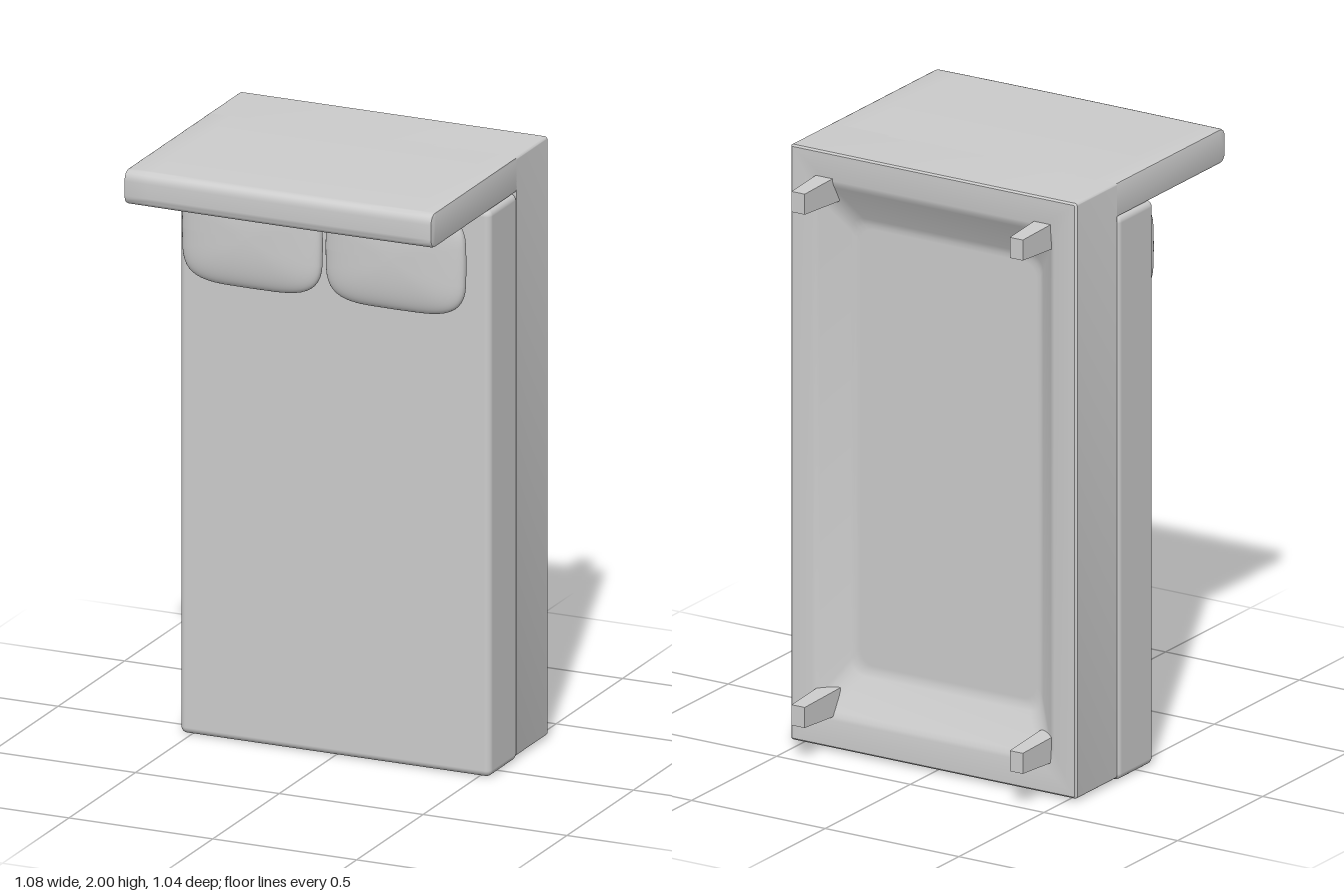
import * as THREE from 'three';
import { toCreasedNormals } from 'three/addons/utils/BufferGeometryUtils.js';
import { RoundedBoxGeometry } from 'three/addons/geometries/RoundedBoxGeometry.js';

const material = new THREE.MeshStandardMaterial({ color: 0xcccccc });

function add(parent, name, geometry, x = 0, y = 0, z = 0) {
  const mesh = new THREE.Mesh(geometry, material);
  mesh.name = name;
  mesh.position.set(x, y, z);
  parent.add(mesh);
  return mesh;
}

// Rounded rectangle in the xy plane, counter-clockwise seen from +z
function roundedLoop([hw, hh, r, z]) {
  const points = [];
  for (let corner = 0; corner < 4; corner++) {
    const sx = corner === 0 || corner === 3 ? 1 : -1;
    const sy = corner < 2 ? 1 : -1;
    for (let k = 0; k <= 4; k++) {
      const a = (corner + k / 4) * Math.PI / 2;
      points.push([sx * (hw - r) + r * Math.cos(a), sy * (hh - r) + r * Math.sin(a), z]);
    }
  }
  return points;
}

// Skin through successive loops
function skin(sections) {
  const loops = sections.map(roundedLoop);
  const position = [];
  for (let s = 0; s < loops.length - 1; s++) {
    const a = loops[s], b = loops[s + 1], n = a.length;
    for (let i = 0; i < n; i++) {
      const j = (i + 1) % n;
      position.push(...a[i], ...b[i], ...a[j], ...a[j], ...b[i], ...b[j]);
    }
  }
  const geometry = new THREE.BufferGeometry();
  geometry.setAttribute('position', new THREE.Float32BufferAttribute(position, 3));
  return toCreasedNormals(geometry, 0.6);
}

// Headboard: side profile with a rounded outer end, extruded across the width
function headboardGeometry() {
  const bevel = 0.008, z0 = -0.13, z1 = 0.505, y0 = 1.885 + bevel, y1 = 2 - bevel, r = 0.026;
  const shape = new THREE.Shape();
  shape.moveTo(z0, y0);
  shape.lineTo(z1 - r, y0);
  shape.quadraticCurveTo(z1, y0, z1, y0 + r);
  shape.lineTo(z1, y1 - r);
  shape.quadraticCurveTo(z1, y1, z1 - r, y1);
  shape.lineTo(z0, y1);
  shape.closePath();
  const width = 1.07 - 2 * bevel;
  const geometry = new THREE.ExtrudeGeometry(shape, {
    depth: width, steps: 14, curveSegments: 6,
    bevelEnabled: true, bevelThickness: bevel, bevelSize: bevel, bevelSegments: 2,
  });
  geometry.translate(0, 0, -width / 2);
  geometry.rotateY(-Math.PI / 2);
  // Slight bulge of the padded end
  const p = geometry.attributes.position;
  for (let i = 0; i < p.count; i++) {
    if (p.getZ(i) > 0.4) p.setZ(i, p.getZ(i) + 0.005 * (1 - (p.getX(i) / 0.535) ** 2));
  }
  return toCreasedNormals(geometry, 0.7);
}

// Pillow: sphere squared off in plan, with a soft rounded edge
function pillowGeometry(hw, hh, hd) {
  const geometry = new THREE.SphereGeometry(1, 48, 32);
  geometry.rotateX(Math.PI / 2);
  const p = geometry.attributes.position;
  const power = (v, e) => Math.sign(v) * Math.abs(v) ** e;
  for (let i = 0; i < p.count; i++) {
    const x = p.getX(i), y = p.getY(i), z = p.getZ(i);
    const rho = Math.hypot(x, y) || 1e-9;
    const edge = Math.min(rho, 1) ** 0.9;
    p.setXYZ(i, hw * edge * power(x / rho, 0.48), hh * edge * power(y / rho, 0.48), hd * power(z, 0.75));
  }
  geometry.computeVertexNormals();
  return geometry;
}

// Leg: box tapering towards its foot at -z
function legGeometry() {
  const geometry = new THREE.BoxGeometry(0.066, 0.088, 0.198);
  const p = geometry.attributes.position;
  for (let i = 0; i < p.count; i++) {
    if (p.getZ(i) < 0) p.setXY(i, p.getX(i) * 0.74, p.getY(i) * 0.78);
  }
  geometry.computeVertexNormals();
  return geometry;
}

export function createModel() {
  const bed = new THREE.Group();
  bed.name = 'bed';

  // Base frame with a sloped hollow on its underside: half width, half height, corner radius, z
  const frame = skin([
    [0, 0.5, 0, -0.125],
    [0.535, 0.995, 0.008, -0.125],
    [0.535, 0.995, 0.008, -0.35],
    [0.535, 0.995, 0.008, -0.359],
    [0.529, 0.989, 0.004, -0.365],
    [0.52, 0.98, 0.004, -0.365],
    [0.452, 0.902, 0.05, -0.365],
    [0.442, 0.89, 0.05, -0.362],
    [0.432, 0.876, 0.05, -0.354],
    [0.36, 0.765, 0.05, -0.284],
    [0.345, 0.745, 0.05, -0.276],
    [0.33, 0.73, 0.05, -0.276],
    [0, 0.5, 0, -0.276],
  ]);
  add(bed, 'baseFrame', frame, 0, 1.005, 0);

  add(bed, 'headboard', headboardGeometry());
  add(bed, 'mattress', new RoundedBoxGeometry(1.08, 1.885, 0.212, 4, 0.022), 0, 0.9425, -0.021);

  // Pillows side by side
  const pillow = pillowGeometry(0.242, 0.174, 0.046);
  add(bed, 'rightPillow', pillow, -0.266, 1.705, 0.126);
  add(bed, 'leftPillow', pillow, 0.233, 1.705, 0.126);

  // Legs at the corners of the hollow
  const leg = legGeometry();
  for (const side of [-1, 1]) {
    for (const end of [-1, 1]) {
      const name = (side > 0 ? 'left' : 'right') + (end > 0 ? 'Head' : 'Foot') + 'Leg';
      add(bed, name, leg, side * 0.408, 1.014 + end * 0.858, -0.419);
    }
  }
  return bed;
}
